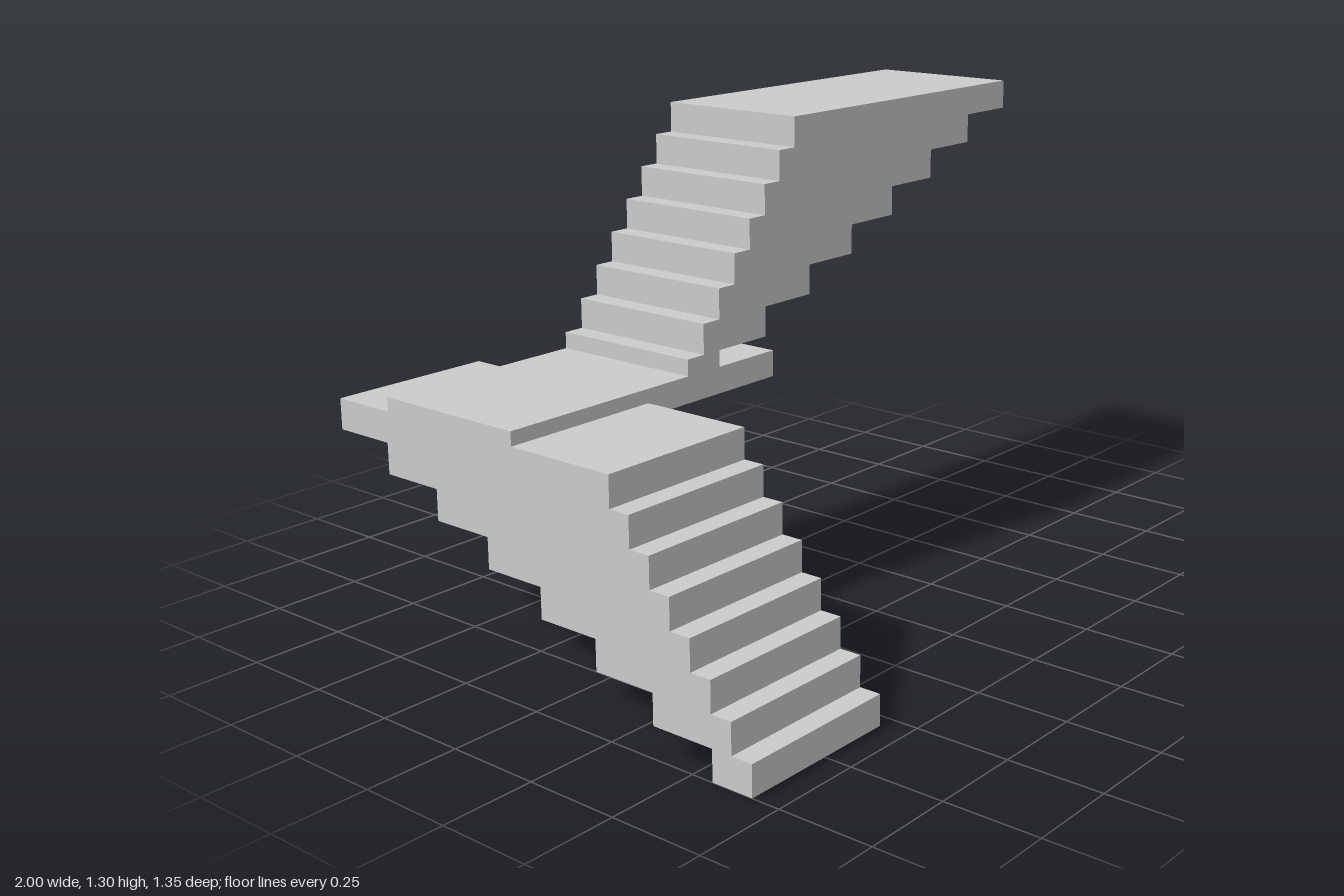
import * as THREE from 'three';

const material = new THREE.MeshStandardMaterial({ color: 0xcccccc, flatShading: true });
const STEPS = 8;
const RISE = 0.081;

// Solid stair flight climbing along +x, extruded across its width along +z.
// Each tread starts `going` further on and its underside ends `reach` further on.
function flight(name, going, firstLength, reach, width) {
  const points = [];
  for (let i = 0; i < STEPS; i++) {
    const end = firstLength + i * reach;
    points.push(new THREE.Vector2(end, i * RISE), new THREE.Vector2(end, (i + 1) * RISE));
  }
  for (let i = STEPS - 1; i >= 0; i--) {
    const start = i * going;
    points.push(new THREE.Vector2(start, (i + 1) * RISE), new THREE.Vector2(start, i * RISE));
  }
  const geometry = new THREE.ExtrudeGeometry(new THREE.Shape(points), {
    depth: width,
    bevelEnabled: false,
  });
  const mesh = new THREE.Mesh(geometry, material);
  mesh.name = name;
  return mesh;
}

export function createModel() {
  const model = new THREE.Group();
  model.name = 'staircase';

  // Lower flight climbs from the front towards the back
  const lower = flight('lowerFlight', 0.0588, 0.115, 0.1764, 0.455);
  lower.rotation.y = Math.PI / 2;
  lower.position.set(-1, 0, 0.675);
  model.add(lower);

  // Landing slab crossing the top of the lower flight
  const landing = new THREE.Mesh(new THREE.BoxGeometry(0.932, 0.071, 0.44), material);
  landing.name = 'landing';
  landing.position.set(-0.534, 0.6495, -0.27);
  model.add(landing);

  // Upper flight turns towards +x and ends in the long top tread
  const upper = flight('upperFlight', 0.0603, 0.119, 0.183, 0.44);
  upper.position.set(-0.4, 0.648, -0.49);
  model.add(upper);

  return model;
}
